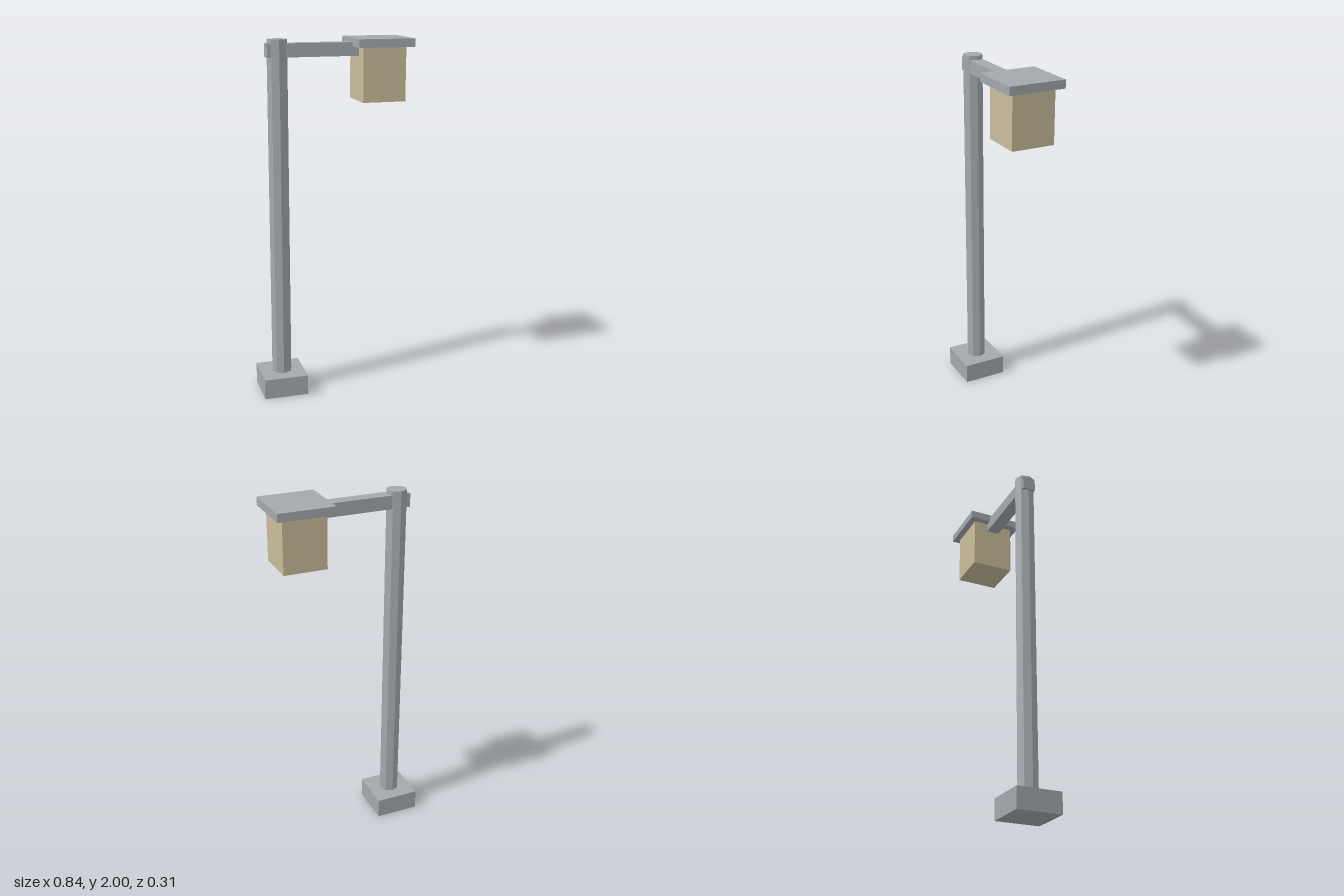
import * as THREE from 'three';

export function createModel() {
  const model = new THREE.Group();
  model.name = 'streetLamp';

  const metal = new THREE.MeshStandardMaterial({ color: 0xa4a9ae });
  metal.name = 'grey metal';
  metal.flatShading = true;
  const glow = new THREE.MeshStandardMaterial({ color: 0xcabd9b });
  glow.name = 'warm lamp glass';
  glow.flatShading = true;

  const poleX = -0.298;
  const lampX = 0.264;

  // Adds a box given its centre x, width, bottom, top and depth
  function box(name, material, x, width, bottom, top, depth) {
    const mesh = new THREE.Mesh(new THREE.BoxGeometry(width, top - bottom, depth), material);
    mesh.name = name;
    mesh.position.set(x, (bottom + top) / 2, 0);
    model.add(mesh);
  }

  // Square foot
  box('base', metal, poleX, 0.25, 0, 0.115, 0.25);

  // Eight-sided pole, corners on the x and z axes
  const pole = new THREE.Mesh(new THREE.CylinderGeometry(0.056, 0.056, 1.9, 8), metal);
  pole.name = 'pole';
  pole.position.set(poleX, 1.05, 0);
  model.add(pole);

  // Arm runs through the pole and into the lamp
  box('arm', metal, -0.05, 0.62, 1.905, 1.978, 0.074);

  // Lamp housing and its overhanging cap
  box('lamp', glow, lampX, 0.24, 1.662, 1.955, 0.24);
  box('lampCap', metal, lampX, 0.312, 1.955, 2, 0.312);

  return model;
}
